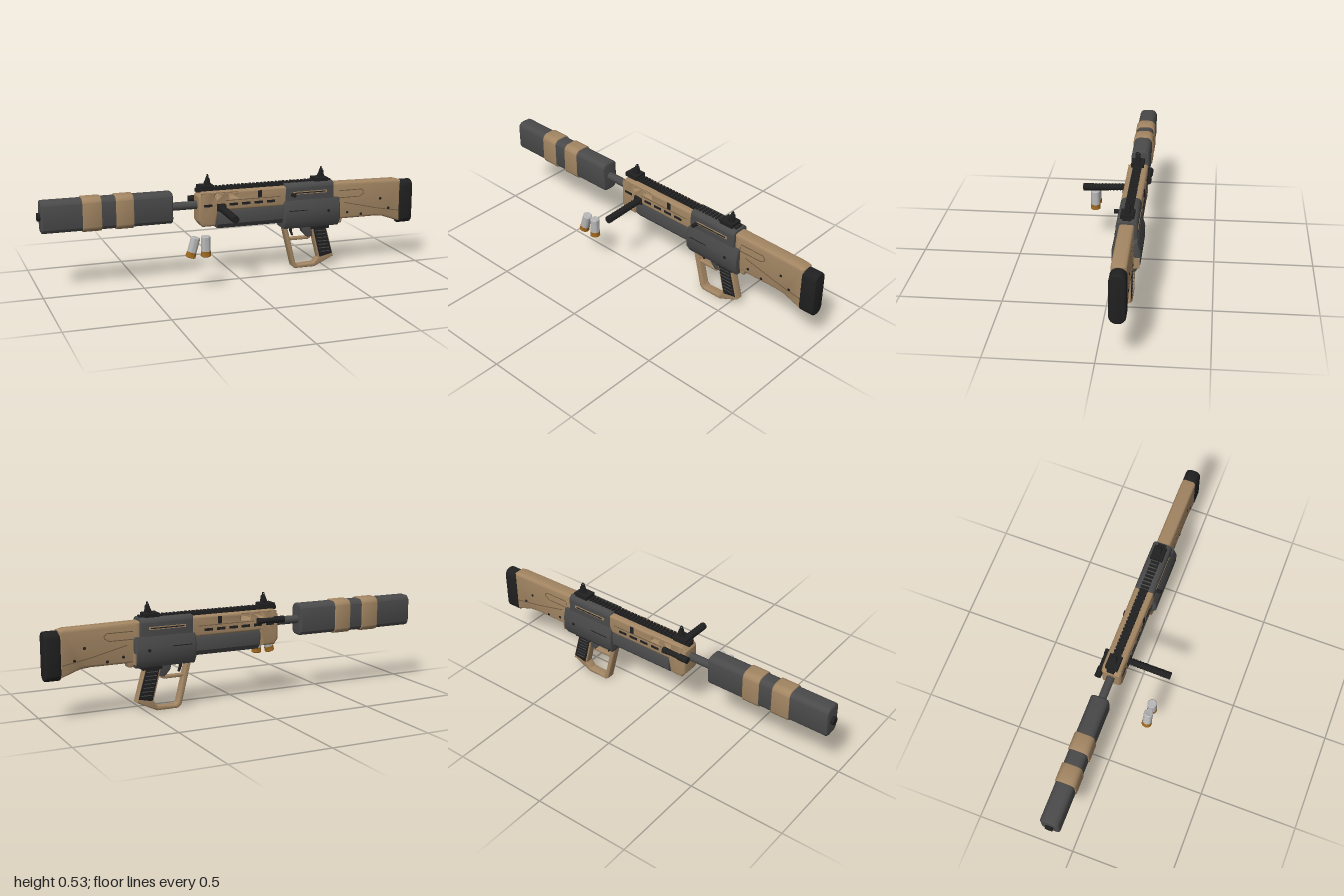
import * as THREE from 'three';
import { toCreasedNormals } from 'three/addons/utils/BufferGeometryUtils.js';
import { RoundedBoxGeometry } from 'three/addons/geometries/RoundedBoxGeometry.js';

const Z = -0.097; // centre plane of the long body

function material(name, color) {
  const m = new THREE.MeshStandardMaterial({ color });
  m.name = name;
  return m;
}

export function createModel() {
  const tan = material('tan polymer', 0xa38663);
  const gray = material('gray metal', 0x4a4a4a);
  const black = material('black rubber', 0x202020);
  const white = material('pale shell', 0xb8b8b8);
  const brass = material('brass', 0x9a651f);
  const shade = material('dark tan recess', 0x6e5a42);
  const model = new THREE.Group();

  const add = (name, geo, mat, x = 0, y = 0, z = Z, parent = model) => {
    const m = new THREE.Mesh(geo, mat);
    m.name = name;
    m.position.set(x, y, z);
    parent.add(m);
    return m;
  };
  const toShape = (pts) => new THREE.Shape(pts.map(([x, y]) => new THREE.Vector2(x, y)));
  const extrude = (shape, depth, bevel) => {
    const g = new THREE.ExtrudeGeometry(shape, {
      depth: depth - 2 * bevel, bevelEnabled: bevel > 0, bevelThickness: bevel, bevelSize: bevel,
      bevelOffset: -bevel, bevelSegments: 3, curveSegments: 8,
    });
    g.translate(0, 0, bevel - depth / 2);
    return toCreasedNormals(g, 0.6);
  };
  // Side outline given width across z
  const side = (name, pts, width, bevel, mat, holes = [], z = Z) => {
    const s = toShape(pts);
    holes.forEach((h) => s.holes.push(toShape(h)));
    return add(name, extrude(s, width, bevel), mat, 0, 0, z);
  };
  // Cross-section (z, y) stretched from x0 to x1
  const along = (name, shape, x0, x1, bevel, mat, y = 0, z = Z) =>
    add(name, extrude(shape, x1 - x0, bevel).rotateY(Math.PI / 2), mat, (x0 + x1) / 2, y, z);
  const roundRect = (w, h, r) => {
    const s = new THREE.Shape(), a = w / 2, b = h / 2;
    s.moveTo(-a + r, -b); s.lineTo(a - r, -b); s.absarc(a - r, -b + r, r, -Math.PI / 2, 0);
    s.lineTo(a, b - r); s.absarc(a - r, b - r, r, 0, Math.PI / 2);
    s.lineTo(-a + r, b); s.absarc(-a + r, b - r, r, Math.PI / 2, Math.PI);
    s.lineTo(-a, -b + r); s.absarc(-a + r, -b + r, r, Math.PI, Math.PI * 1.5);
    return s;
  };
  const box = (name, w, h, d, mat, x, y, z = Z) => add(name, new THREE.BoxGeometry(w, h, d), mat, x, y, z);
  const rect = (x0, x1, y0, y1) => [[x0, y0], [x1, y0], [x1, y1], [x0, y1]];
  const rod = (name, r, x0, x1, mat, y, z = Z) =>
    add(name, new THREE.CylinderGeometry(r, r, x1 - x0, 20).rotateZ(Math.PI / 2), mat, (x0 + x1) / 2, y, z);

  // Muzzle block with its two bands, and the barrel
  along('muzzleBlock', roundRect(0.094, 0.16, 0.03), -0.985, -0.33, 0.008, gray, 0.38);
  [[-0.785, -0.69], [-0.62, -0.53]].forEach(([a, b]) =>
    along('muzzleBand', roundRect(0.104, 0.172, 0.033), a, b, 0.004, tan, 0.38));
  rod('muzzleTip', 0.02, -1, -0.98, black, 0.38);
  rod('barrel', 0.021, -0.34, 0.28, gray, 0.38);

  // Handguard with open upper windows
  const windows = [[-0.175, -0.135], [-0.11, -0.06], [-0.04, 0.005]].map(([a, b]) =>
    [[a + 0.006, 0.414], [b, 0.414], [b, 0.428], [b - 0.006, 0.434], [a, 0.434], [a, 0.42]]);
  side('handguard', [[-0.198, 0.3], [-0.178, 0.272], [-0.11, 0.272], [-0.095, 0.35], [0.275, 0.35],
    [0.275, 0.45], [-0.178, 0.45], [-0.198, 0.425]], 0.1, 0.012, tan, windows);
  for (const s of [-1, 1]) {
    const z = Z + s * 0.0502;
    for (let i = 0; i < 6; i++) box('handguardSlot', 0.045, 0.013, 0.004, black, -0.15 + i * 0.067, 0.381, z);
    box('handguardLatch', 0.02, 0.035, 0.008, black, 0.125, 0.424, z);
    box('handguardSeam', 0.3, 0.003, 0.004, shade, 0.09, 0.402, z);
  }

  // Magazine tube housing under the handguard
  const tube = toShape([[-0.025, -0.05], [0.025, -0.05], [0.047, -0.025], [0.05, 0.03], [0.04, 0.05],
    [-0.04, 0.05], [-0.05, 0.03], [-0.047, -0.025]]);
  along('magazineHousing', tube, -0.1, 0.27, 0.006, gray, 0.305);

  // Upper receiver and wide loading housing
  along('upperReceiver', roundRect(0.1, 0.12, 0.026), 0.265, 0.535, 0.004, gray, 0.402);
  const hull = toShape([[-0.045, 0.225], [0.045, 0.225], [0.067, 0.262], [0.067, 0.325], [0.052, 0.374],
    [-0.052, 0.374], [-0.067, 0.325], [-0.067, 0.262]]);
  along('loadingHousing', hull, 0.255, 0.568, 0.008, gray);
  side('rearCover', rect(0.566, 0.572, 0.245, 0.298), 0.03, 0, tan, [], -0.146);
  for (const s of [-1, 1]) {
    box('receiverSlot', 0.19, 0.014, 0.004, tan, 0.4, 0.412, Z + s * 0.0502);
    box('receiverSlotInset', 0.17, 0.005, 0.008, black, 0.4, 0.412, Z + s * 0.0502);
    box('housingSeam', 0.1, 0.004, 0.004, black, 0.33, 0.322, Z + s * 0.0668);
    const pin = add('receiverPin', new THREE.CylinderGeometry(0.008, 0.008, 0.006, 12), black, 0.5, 0.31, Z + s * 0.067);
    pin.rotation.x = Math.PI / 2;
  }
  const handle = add('chargingHandle', new THREE.CylinderGeometry(0.01, 0.01, 0.04, 16), black, 0.305, 0.405, -0.038);
  handle.rotation.x = Math.PI / 2;

  // Stock and butt pad
  side('stock', [[0.53, 0.25], [0.78, 0.25], [0.83, 0.245], [0.93, 0.21], [0.93, 0.435], [0.9, 0.442],
    [0.56, 0.447], [0.53, 0.447]], 0.072, 0.014, tan);
  side('stockLower', [[0.45, 0.228], [0.59, 0.228], [0.6, 0.26], [0.45, 0.26]], 0.06, 0.008, tan);
  along('buttPad', roundRect(0.077, 0.235, 0.036), 0.922, 1, 0.008, black, 0.316);
  for (const s of [-1, 1]) {
    const z = Z + s * 0.0355;
    side('stockRecess', [[0.57, 0.364], [0.69, 0.364], [0.715, 0.38], [0.715, 0.394], [0.7, 0.406], [0.57, 0.406]],
      0.004, 0, shade, [[[0.57, 0.368], [0.689, 0.368], [0.711, 0.382], [0.711, 0.392], [0.698, 0.402], [0.57, 0.402]]], z);
    side('stockCrease', [[0.6, 0.338], [0.78, 0.295], [0.92, 0.27], [0.92, 0.274], [0.78, 0.299], [0.6, 0.342]], 0.004, 0, shade, [], z);
    [[0.62, 0.285], [0.81, 0.345], [0.7, 0.27], [0.86, 0.29]].forEach(([x, y]) => {
      add('stockPin', new THREE.CylinderGeometry(0.007, 0.007, 0.005, 12).rotateX(Math.PI / 2), black, x, y, z);
    });
  }

  // Top rail with teeth
  box('railBase', 0.73, 0.016, 0.036, black, 0.165, 0.454);
  for (let i = 0; i < 36; i++) box('railTooth', 0.011, 0.01, 0.043, black, -0.19 + i * 0.0203, 0.464);

  // Flip-up sights
  [[-0.15, 1], [0.47, 1]].forEach(([x, s]) => {
    box('sightBase', 0.075, 0.022, 0.064, black, x, 0.469);
    side('sightPost', [[x - 0.012, 0.475], [x + 0.026, 0.475], [x + 0.02 * s, 0.515], [x + 0.008, 0.522], [x, 0.5]], 0.024, 0.002, black);
    const ring = add('sightRing', new THREE.TorusGeometry(0.0095, 0.0025, 8, 24), black, x + 0.012, 0.522);
    ring.rotation.y = Math.PI / 2;
    box('sightBlade', 0.012, 0.03, 0.004, black, x + 0.012, 0.508);
  });

  // Grip loop, trigger guard and trigger
  side('gripLoop', [[0.262, 0.24], [0.318, 0.014], [0.335, 0], [0.445, 0], [0.552, 0.05], [0.5, 0.24]], 0.046, 0.007, tan,
    [[[0.29, 0.222], [0.338, 0.028], [0.349, 0.018], [0.44, 0.022], [0.464, 0.05], [0.42, 0.222]]]);
  side('gripPanel', [[0.432, 0.212], [0.502, 0.212], [0.543, 0.066], [0.472, 0.05]], 0.051, 0.003, black);
  for (const s of [-1, 1]) for (let i = 0; i < 7; i++) {
    box('gripRib', 0.055, 0.004, 0.003, gray, 0.471 + i * 0.005, 0.195 - i * 0.019, Z + s * 0.0256);
  }
  side('triggerGuard', [[0.3, 0.166], [0.312, 0.152], [0.41, 0.152], [0.43, 0.166]], 0.03, 0.003, tan);
  side('trigger', [[0.305, 0.23], [0.322, 0.23], [0.32, 0.205], [0.328, 0.178], [0.32, 0.176], [0.308, 0.204]], 0.014, 0.002, black);
  side('triggerBlock', [[0.365, 0.23], [0.44, 0.23], [0.43, 0.168], [0.405, 0.162], [0.375, 0.195]], 0.036, 0.003, gray);
  box('gripCollar', 0.1, 0.03, 0.062, black, 0.47, 0.222);

  // Sideways support handle with raised ribs
  const support = new THREE.Group();
  support.name = 'supportHandle';
  support.position.set(-0.08, 0.36, 0.066);
  support.rotation.x = Math.PI / 2 + 0.035;
  model.add(support);
  add('handleCore', new THREE.CylinderGeometry(0.0185, 0.0165, 0.216, 20), black, 0, 0, 0, support);
  for (let i = 0; i < 12; i++) {
    const rib = add('handleRib', new THREE.TorusGeometry(0.0165, 0.003, 6, 20), black, 0, -0.095 + i * 0.0172, 0, support);
    rib.rotation.x = Math.PI / 2 + 0.2;
  }
  add('handleMount', new RoundedBoxGeometry(0.05, 0.034, 0.014, 2, 0.004), black, -0.08, 0.366, -0.046);

  // Side lamp on the far side
  rod('lampBody', 0.013, -0.19, -0.075, black, 0.4, -0.156);
  rod('lampHead', 0.017, -0.222, -0.17, black, 0.4, -0.156);
  rod('lampCap', 0.0155, -0.1, -0.075, black, 0.4, -0.156);
  box('lampMount', 0.05, 0.022, 0.02, black, -0.13, 0.4, -0.146);

  // Two loose shells
  [[-0.22, 0.228, 0], [-0.284, 0.228, -0.28]].forEach(([x, y, tilt]) => {
    const shell = new THREE.Group();
    shell.name = 'shell';
    shell.position.set(x, y, 0.129);
    shell.rotation.z = tilt;
    model.add(shell);
    const lathe = (pts) => toCreasedNormals(new THREE.LatheGeometry(pts.map(([r, h]) => new THREE.Vector2(r, h)), 24), 0.6);
    add('shellBody', lathe([[0.0235, -0.03], [0.0235, 0.044], [0.02, 0.049], [0, 0.047]]), white, 0, 0, 0, shell);
    add('shellBase', lathe([[0, -0.056], [0.021, -0.055], [0.0255, -0.052], [0.0255, -0.048], [0.0245, -0.046], [0.0245, -0.027], [0.0235, -0.027]]),
      brass, 0, 0, 0, shell);
  });

  return model;
}
